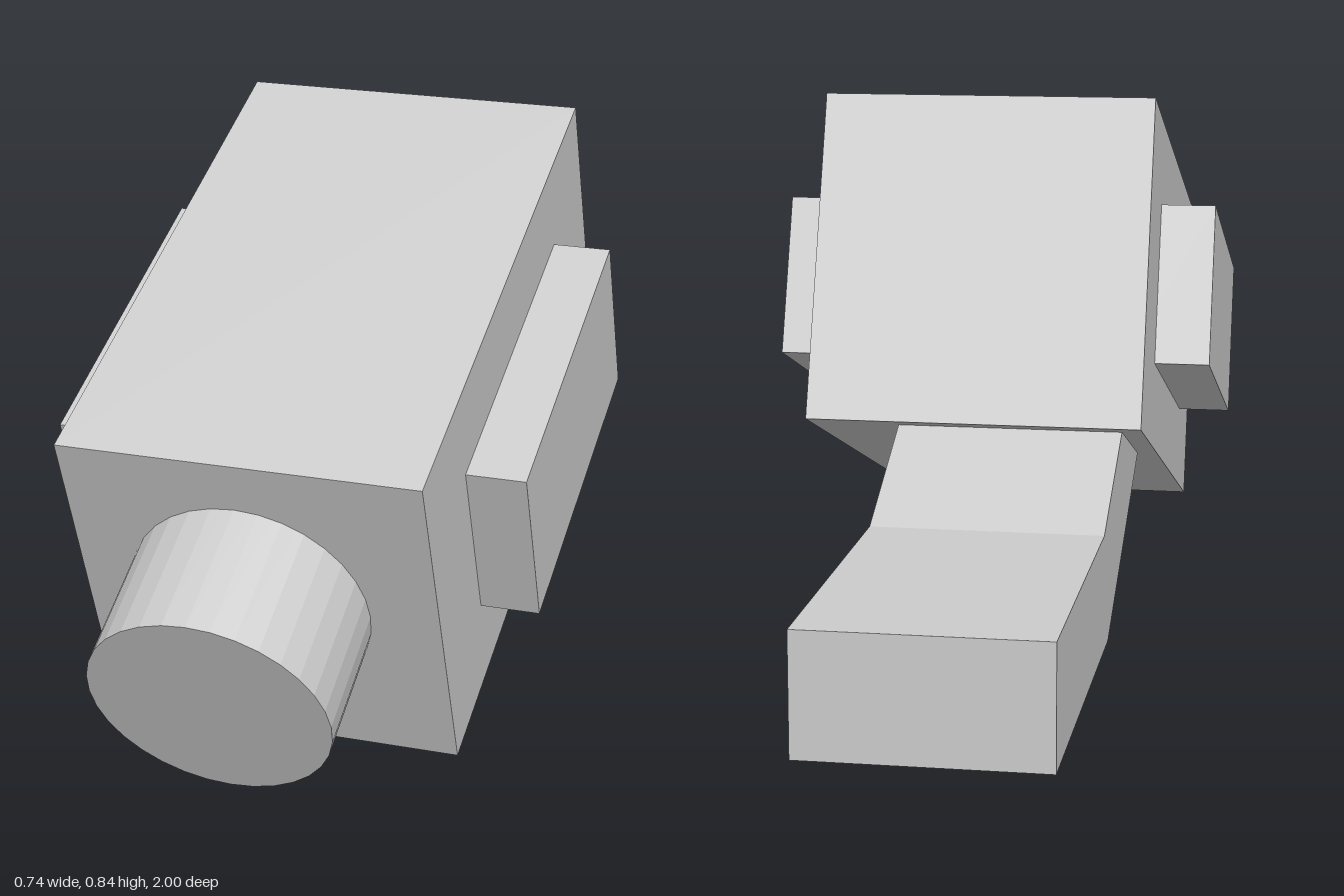
import * as THREE from 'three';

export function createModel() {
  const model = new THREE.Group();
  const material = new THREE.MeshStandardMaterial({ color: 0xcccccc, flatShading: true });

  const add = (name, geometry, x, y, z, tilt = 0, parent = model) => {
    const mesh = new THREE.Mesh(geometry, material);
    mesh.name = name;
    mesh.position.set(x, y, z);
    mesh.rotation.x = tilt;
    parent.add(mesh);
    return mesh;
  };

  // Housing, nose tilted down
  const housing = new THREE.Group();
  housing.name = 'housing';
  housing.position.set(0, 0.424, 0.301);
  housing.rotation.x = THREE.MathUtils.degToRad(20);
  model.add(housing);
  add('body', new THREE.BoxGeometry(0.558, 0.556, 0.928), 0, 0, 0, 0, housing);

  // Raised panels on both flanks
  for (const side of [1, -1]) {
    add(side > 0 ? 'leftPanel' : 'rightPanel',
      new THREE.BoxGeometry(0.144, 0.277, 0.555), side * 0.3, 0, 0.002, 0, housing);
  }

  // Lens barrel, tilted a little further and sunk into the body
  const lensTilt = THREE.MathUtils.degToRad(25);
  const lensLength = 0.34;
  const barrel = new THREE.CylinderGeometry(0.186, 0.186, lensLength, 32);
  barrel.rotateX(Math.PI / 2);
  add('lens', barrel, -0.014,
    0.185 + Math.sin(lensTilt) * lensLength / 2,
    0.922 - Math.cos(lensTilt) * lensLength / 2, lensTilt);

  // Bent mounting arm: side profile as (z, y), extruded across x
  const width = 0.373;
  const profile = new THREE.Shape([
    [-1, 0.01], [-0.384, 0.01], [-0.375, 0.012], [0.15, 0.255],
    [0.07, 0.43], [-0.44, 0.198], [-1, 0.198],
  ].map(([z, y]) => new THREE.Vector2(z, y)));
  const arm = new THREE.ExtrudeGeometry(profile, { depth: width, bevelEnabled: false });
  arm.translate(0, 0, -width / 2);
  arm.rotateY(-Math.PI / 2);
  add('mountingArm', arm, -0.058, 0, 0);

  return model;
}
